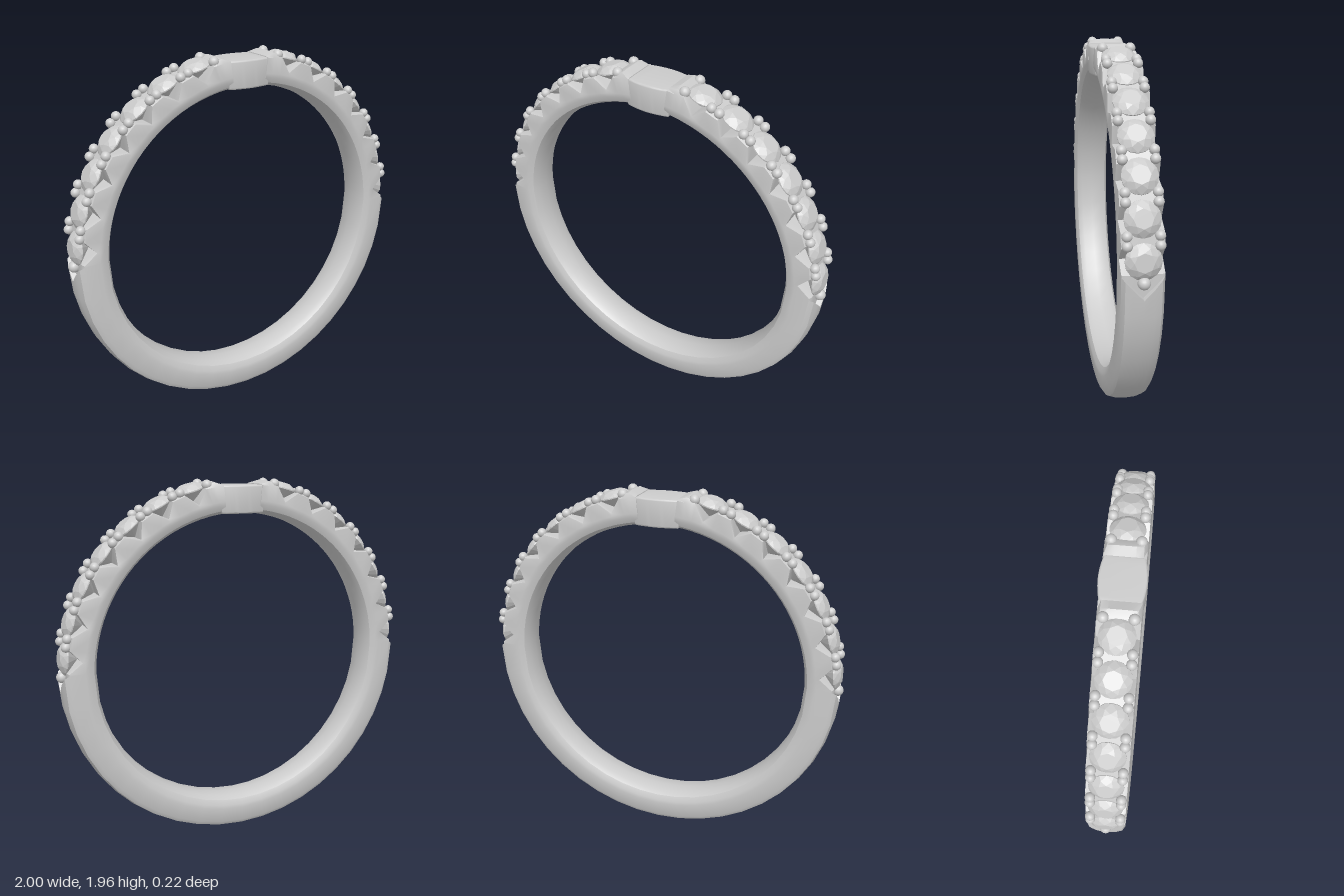
import * as THREE from 'three';
import { toCreasedNormals } from 'three/addons/utils/BufferGeometryUtils.js';
import { ConvexGeometry } from 'three/addons/geometries/ConvexGeometry.js';

const CY = 0.99;                     // height of the ring's axis
const STONES = 7, FIRST = 5.5, STEP = 11.4;
const rad = THREE.MathUtils.degToRad;
const stoneAngles = Array.from({ length: STONES }, (_, i) => FIRST + i * STEP);

// Half of the band's cross-section as [z, radius], from outer middle to inner middle
const HALF = [[0, 0.987], [0.05, 0.984], [0.085, 0.973], [0.1, 0.95], [0.105, 0.87],
  [0.103, 0.85], [0.09, 0.822], [0.06, 0.805], [0, 0.8]];
const LOOP = [...HALF, ...HALF.slice(1, -1).reverse().map(([z, r]) => [-z, r])];

// Stations along the right half: angle, outer radius limit, V-shaped skew of the outer face
function halfStations() {
  const s = [];
  for (let a = -90; a <= -10; a += 8) s.push({ a, cap: 2, skew: 0 });
  s.push({ a: 1.6, cap: 2, skew: -6.5 }, { a: 1.7, cap: 0.958, skew: -6.5 });
  for (const c of stoneAngles) {
    s.push({ a: c - 3.6, cap: 0.958, skew: 0 }, { a: c, cap: 0.885, skew: 0 }, { a: c + 3.6, cap: 0.958, skew: 0 });
  }
  // raised collar beside the centre plate
  s.push({ a: 78.6, cap: 0.97, skew: 0 }, { a: 80.8, cap: 0.978, skew: 0 }, { a: 83.4, cap: 0.955, skew: 0 });
  return s;
}

function bandGeometry() {
  const right = halfStations();
  const left = right.slice(1).reverse().map(({ a, cap, skew }) => ({ a: -180 - a, cap, skew: -skew }));
  const stations = [...left, ...right];
  const pos = [], index = [], n = LOOP.length;
  for (const { a, cap, skew } of stations) {
    for (const [z, r0] of LOOP) {
      const r = Math.min(r0, cap);
      const t = rad(a + (r0 > 0.93 ? skew * (1 - Math.abs(z) / 0.105) : 0));
      pos.push(r * Math.cos(t), CY + r * Math.sin(t), z);
    }
  }
  for (let i = 0; i < stations.length - 1; i++) {
    for (let j = 0; j < n; j++) {
      const k = (j + 1) % n, p = i * n, q = p + n;
      index.push(p + j, q + j, p + k, q + j, q + k, p + k);
    }
  }
  // flat ends against the centre plate
  [0, stations.length - 1].forEach((i) => {
    const t = rad(stations[i].a), c = pos.length / 3;
    pos.push(0.88 * Math.cos(t), CY + 0.88 * Math.sin(t), 0);
    for (let j = 0; j < n; j++) {
      const u = i * n + j, v = i * n + (j + 1) % n;
      index.push(c, i ? v : u, i ? u : v);
    }
  });
  const g = new THREE.BufferGeometry();
  g.setAttribute('position', new THREE.Float32BufferAttribute(pos, 3));
  g.setIndex(index);
  return toCreasedNormals(g, 0.6);
}

// Round brilliant: table, star ring, girdle and point
function stoneGeometry() {
  const pts = [new THREE.Vector3(0, -0.066, 0)];
  const ring = (count, r, y, turn) => {
    for (let i = 0; i < count; i++) {
      const t = ((i + turn) / count) * Math.PI * 2;
      pts.push(new THREE.Vector3(r * Math.cos(t), y, r * Math.sin(t)));
    }
  };
  ring(8, 0.046, 0.032, 0);
  ring(8, 0.068, 0.02, 0.5);
  ring(16, 0.086, 0.003, 0);
  ring(16, 0.086, -0.003, 0);
  return new ConvexGeometry(pts);
}

// Centre plate with bowed sides and softened edges
function plateGeometry() {
  const s = new THREE.Shape();
  s.moveTo(-0.108, -0.088);
  s.quadraticCurveTo(0, -0.118, 0.108, -0.088);
  s.lineTo(0.108, 0.088);
  s.quadraticCurveTo(0, 0.118, -0.108, 0.088);
  s.closePath();
  const g = new THREE.ExtrudeGeometry(s, {
    depth: 0.127, curveSegments: 12, bevelThickness: 0.009, bevelSize: 0.009, bevelSegments: 3,
  });
  g.rotateX(-Math.PI / 2).translate(0, 1.799, 0);
  return toCreasedNormals(g, 0.6);
}

export function createModel() {
  const model = new THREE.Group();
  model.name = 'ring';
  const metal = new THREE.MeshStandardMaterial({ color: 0xcccccc });
  const gem = new THREE.MeshStandardMaterial({ color: 0xcccccc, flatShading: true });
  const add = (parent, name, geo, mat) => {
    const m = new THREE.Mesh(geo, mat);
    m.name = name;
    parent.add(m);
    return m;
  };
  add(model, 'band', bandGeometry(), metal);
  add(model, 'centrePlate', plateGeometry(), metal);

  const stoneGeo = stoneGeometry();
  const beadGeo = new THREE.SphereGeometry(1, 14, 10);
  for (const side of [1, -1]) {
    const shoulder = new THREE.Group();
    shoulder.name = side > 0 ? 'leftShoulder' : 'rightShoulder';
    model.add(shoulder);
    const place = (mesh, deg, r, z) => {
      const t = rad(deg);
      mesh.position.set(side * r * Math.cos(t), CY + r * Math.sin(t), z);
      mesh.rotation.z = side * (t - Math.PI / 2);
    };
    const bead = (deg, r, z, size) => {
      const m = add(shoulder, 'prongBead', beadGeo, metal);
      m.scale.setScalar(size);
      place(m, deg, r, z);
    };

    stoneAngles.forEach((a) => place(add(shoulder, 'stone', stoneGeo, gem), a, 0.956, 0));
    // two pairs of beads in each gap between stones
    for (let i = 0; i < STONES - 1; i++) {
      const mid = FIRST + (i + 0.5) * STEP;
      for (const z of [-0.075, 0.075]) {
        for (const d of [-1.3, 1.3]) bead(mid + d, 0.97, z, 0.025);
      }
    }
    // end beads
    bead(-0.3, 0.97, 0, 0.03);
    for (const z of [-0.07, 0.07]) bead(78.6, 0.967, z, 0.027);
  }
  return model;
}
